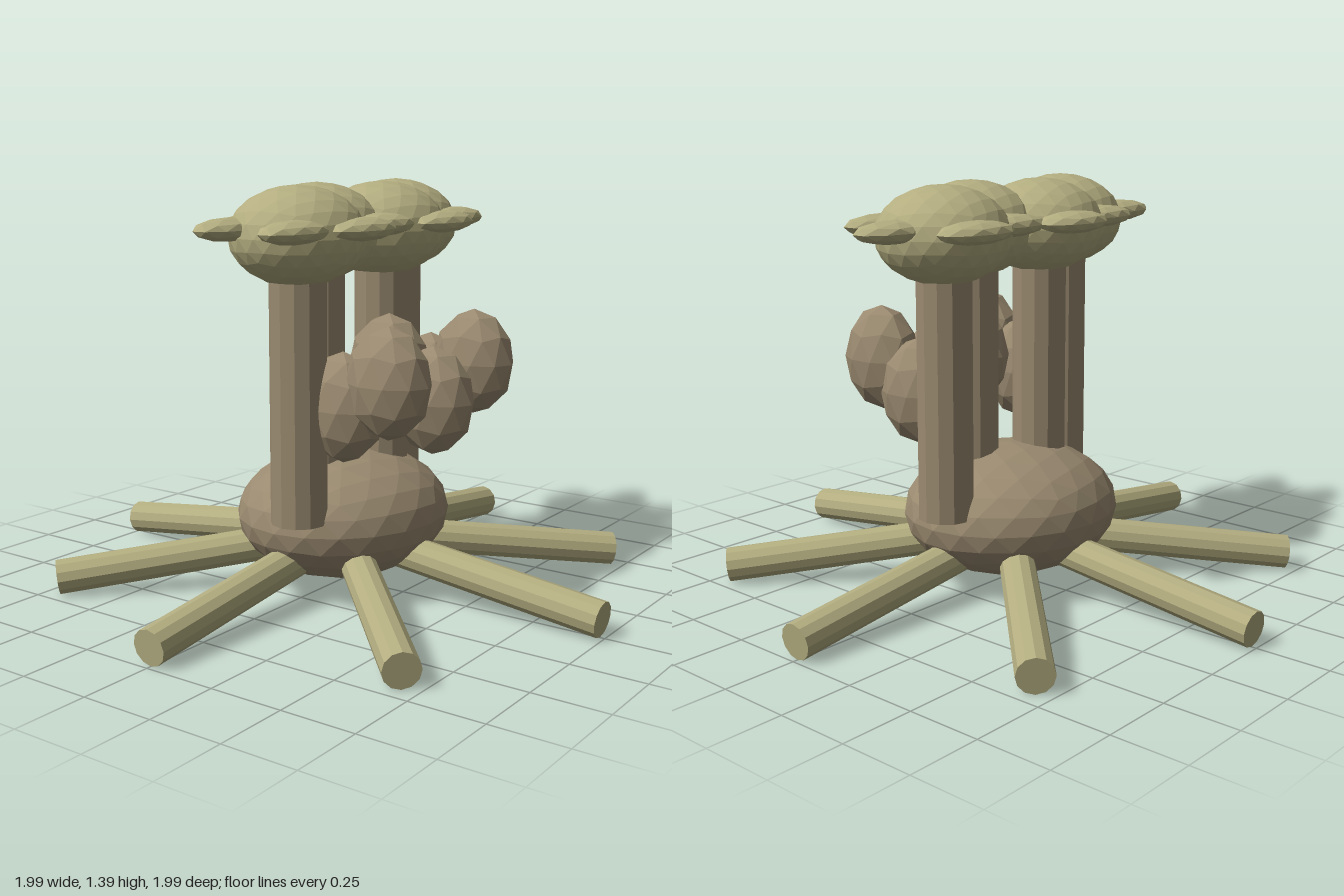
import * as THREE from 'three';

const olive = new THREE.MeshStandardMaterial({ color: 0xb3ad80, flatShading: true });
olive.name = 'olive';
const brown = new THREE.MeshStandardMaterial({ color: 0x9a8a70, flatShading: true });
brown.name = 'brown';

// Faceted ball with a corner at each pole, scaled to an ellipsoid
function blob(detail, rx, ry, rz) {
  const g = new THREE.IcosahedronGeometry(1, detail);
  g.rotateX(-Math.atan((1 + Math.sqrt(5)) / 2));
  g.rotateY(Math.PI / 2);
  g.scale(rx, ry, rz);
  g.computeVertexNormals();
  return g;
}

export function createModel() {
  const model = new THREE.Group();
  model.name = 'grove';

  const add = (name, geometry, material, x, y, z) => {
    const mesh = new THREE.Mesh(geometry, material);
    mesh.name = name;
    mesh.position.set(x, y, z);
    model.add(mesh);
    return mesh;
  };

  // Rounded base
  add('base', blob(3, 0.395, 0.225, 0.355), brown, 0, 0.265, 0);

  // Eight roots spreading out and sloping down
  const inner = new THREE.Vector2(0.2, 0.16);
  const outer = new THREE.Vector2(0.99, 0.065);
  const length = inner.distanceTo(outer);
  const slope = Math.atan2(inner.y - outer.y, outer.x - inner.x);
  const rootGeometry = new THREE.CylinderGeometry(0.06, 0.06, length, 12);
  rootGeometry.rotateZ(-Math.PI / 2 - slope);
  rootGeometry.translate((inner.x + outer.x) / 2, (inner.y + outer.y) / 2, 0);
  for (let i = 0; i < 8; i++) {
    add('root', rootGeometry, olive, 0, 0, 0).rotation.y = (i * Math.PI) / 4;
  }

  // Four staggered trunks, each with a crown and a ring of five leaves
  const trunkGeometry = new THREE.CylinderGeometry(0.093, 0.093, 0.9, 12);
  const crownGeometry = blob(3, 0.22, 0.16, 0.22);
  const leafGeometry = blob(1, 0.157, 0.038, 0.08);
  for (let i = 0; i < 4; i++) {
    const x = (i - 1.5) * 0.237;
    const z = i % 2 ? -0.025 : 0.075;
    add('trunk', trunkGeometry, brown, x, 0.76, z);
    add('crown', crownGeometry, olive, x, 1.24, z);
    for (let k = 0; k < 5; k++) {
      const a = (k * Math.PI * 2) / 5;
      add('leaf', leafGeometry, olive, x + 0.213 * Math.cos(a), 1.265, z + 0.213 * Math.sin(a));
    }
  }

  // Two rows of hanging pods at alternating heights
  const podGeometry = blob(1, 0.11, 0.182, 0.148);
  for (let row = 0; row < 2; row++) {
    for (let col = 0; col < 3; col++) {
      const high = (row + col) % 2 === 0;
      add('pod', podGeometry, brown, (col - 1) * 0.265, high ? 0.785 : 0.69, row ? 0.187 : 0.36);
    }
  }

  return model;
}
